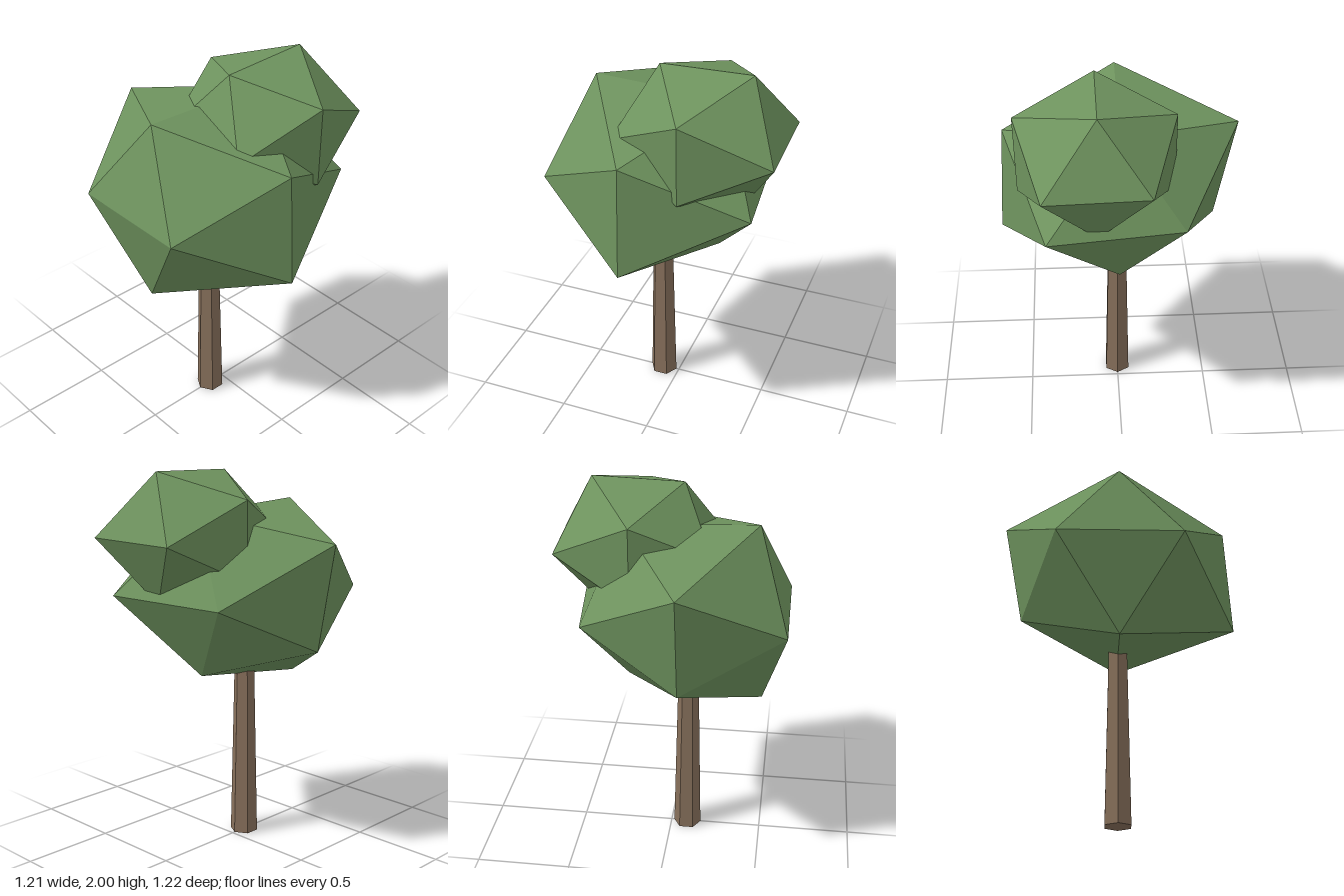
import * as THREE from 'three';

const leafGreen = new THREE.MeshStandardMaterial({ color: 0x6e935e, flatShading: true });
leafGreen.name = 'leafGreen';
const barkBrown = new THREE.MeshStandardMaterial({ color: 0x87705b, flatShading: true });
barkBrown.name = 'barkBrown';

// Corner directions of an icosahedron
const T = (1 + Math.sqrt(5)) / 2;
const CORNERS = [
  [-1, T, 0], [1, T, 0], [-1, -T, 0], [1, -T, 0],
  [0, -1, T], [0, 1, T], [0, -1, -T], [0, 1, -T],
  [T, 0, -1], [T, 0, 1], [-T, 0, -1], [-T, 0, 1],
].map((c) => new THREE.Vector3(...c));

// Irregular leaf clump: each icosahedron corner is pushed out by its own reach, then squashed in y
function leafClump(name, center, squash, reach) {
  const geometry = new THREE.IcosahedronGeometry(1, 0);
  const pos = geometry.attributes.position;
  const v = new THREE.Vector3();
  for (let i = 0; i < pos.count; i++) {
    v.fromBufferAttribute(pos, i);
    const k = CORNERS.findIndex((c) => c.dot(v) > 0.95 * c.length());
    v.copy(CORNERS[k]).multiplyScalar(reach[k]);
    pos.setXYZ(i, v.x, v.y * squash, v.z);
  }
  geometry.computeVertexNormals();
  const mesh = new THREE.Mesh(geometry, leafGreen);
  mesh.name = name;
  mesh.position.set(...center);
  return mesh;
}

export function createModel() {
  const tree = new THREE.Group();
  tree.name = 'tree';

  // Tapered six-sided trunk, its top hidden in the foliage
  const trunk = new THREE.Mesh(new THREE.CylinderGeometry(0.05, 0.075, 1.15, 6), barkBrown);
  trunk.name = 'trunk';
  trunk.position.set(-0.09, 0.575, 0);
  trunk.rotation.y = Math.PI / 6;
  tree.add(trunk);

  // Main crown and the smaller clump on its upper left
  tree.add(leafClump('mainFoliage', [-0.088, 1.36, 0], 0.8,
    [0.355, 0.335, 0.395, 0.318, 0.378, 0.357, 0.316, 0.378, 0.316, 0.366, 0.321, 0.321]));
  tree.add(leafClump('upperFoliage', [0.178, 1.668, 0.113], 0.85,
    [0.232, 0.242, 0.24, 0.241, 0.241, 0.244, 0.24, 0.24, 0.25, 0.263, 0.245, 0.245]));

  return tree;
}
